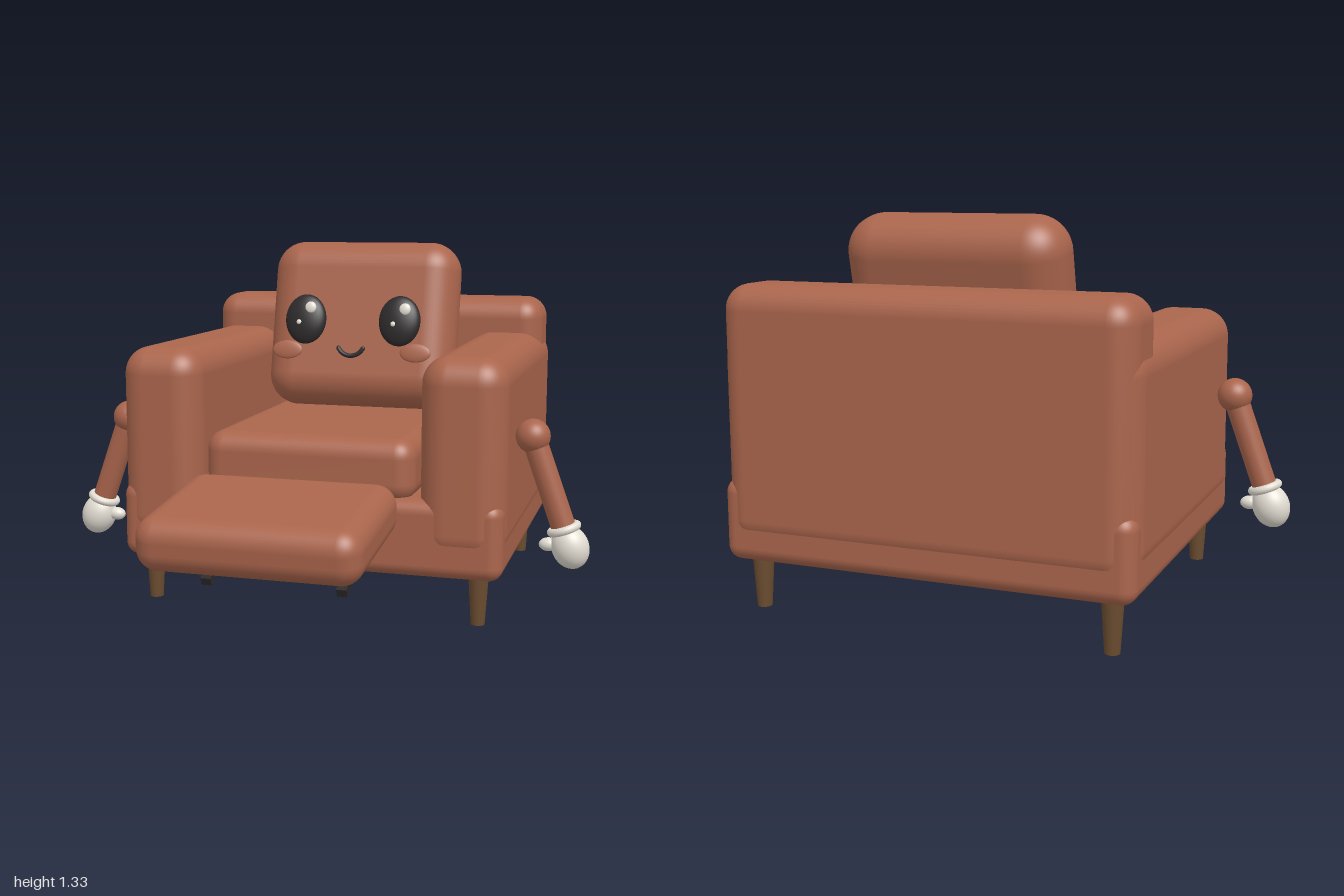
import * as THREE from 'three';
import { RoundedBoxGeometry } from 'three/addons/geometries/RoundedBoxGeometry.js';

const mat = (name, color) => {
  const m = new THREE.MeshStandardMaterial({ color });
  m.name = name;
  return m;
};

export function createModel() {
  const leather = mat('leather', 0xaa654c);
  const black = mat('black', 0x2e2a2b);
  const white = mat('white', 0xe2ddd2);
  const wood = mat('wood', 0x6b4c30);
  const chair = new THREE.Group();
  chair.name = 'armchair';

  const add = (name, geo, material, [x, y, z], parent = chair) => {
    const mesh = new THREE.Mesh(geo, material);
    mesh.name = name;
    mesh.position.set(x, y, z);
    parent.add(mesh);
    return mesh;
  };
  // Rounded cushion given by its min and max on each axis
  const cushion = (name, [x0, x1], [y0, y1], [z0, z1], r) =>
    add(name, new RoundedBoxGeometry(x1 - x0, y1 - y0, z1 - z0, 6, r), leather,
      [(x0 + x1) / 2, (y0 + y1) / 2, (z0 + z1) / 2]);
  const ellipsoid = (name, material, pos, [rx, ry, rz], parent) => {
    const mesh = add(name, new THREE.SphereGeometry(1, 32, 20), material, pos, parent);
    mesh.scale.set(rx, ry, rz);
    return mesh;
  };

  // Body
  cushion('base', [-0.713, 0.713], [0.175, 0.455], [-0.953, 0.304], 0.05);
  cushion('backrest', [-0.705, 0.705], [0.235, 1.1], [-0.959, -0.68], 0.085);
  cushion('seatCushion', [-0.393, 0.393], [0.43, 0.66], [-0.69, 0.285], 0.07);
  for (const s of [-1, 1]) {
    cushion('armrest', s < 0 ? [-0.718, -0.41] : [0.41, 0.718], [0.235, 0.96], [-0.952, 0.31], 0.1);
  }

  // Leaning head cushion
  const head = add('headCushion', new RoundedBoxGeometry(0.775, 0.68, 0.26, 8, 0.122), leather, [0, 0.99, -0.553]);
  head.rotation.x = -0.23;

  // Face, held on a plane in front of the head cushion
  const face = new THREE.Group();
  face.name = 'face';
  face.position.set(0, 1.025, -0.35);
  face.rotation.x = -0.23;
  chair.add(face);
  for (const s of [-1, 1]) {
    const x = s * 0.193;
    ellipsoid('eye', black, [x, 0, 0], [0.084, 0.1, 0.038], face);
    ellipsoid('eyeHighlight', white, [x + 0.026, 0.043, 0.031], [0.023, 0.024, 0.011], face);
    ellipsoid('smallHighlight', white, [x - 0.018, -0.017, 0.036], [0.01, 0.01, 0.006], face);
    ellipsoid('cheek', leather, [s * 0.263, -0.125, 0], [0.062, 0.037, 0.01], face);
  }
  const half = 1.07;
  const smile = add('mouth', new THREE.TorusGeometry(0.057, 0.009, 10, 24, half * 2), black, [0, -0.086, 0], face);
  smile.rotation.z = -Math.PI / 2 - half;
  for (const s of [-1, 1]) {
    ellipsoid('mouthEnd', black, [s * 0.05, -0.113, 0], [0.009, 0.009, 0.009], face);
  }

  // Raised footrest and its struts
  const footrest = add('footrest', new RoundedBoxGeometry(0.76, 0.187, 0.565, 6, 0.075), leather, [0, 0.425, 0.68]);
  footrest.rotation.x = 0.115;
  for (const s of [-1, 1]) {
    const strut = add('footrestStrut', new THREE.BoxGeometry(0.036, 0.03, 0.52), black, [s * 0.24, 0.327, 0.42]);
    strut.rotation.x = 0.475;
  }

  // Tapered legs
  for (const x of [-0.62, 0.62]) {
    for (const z of [-0.857, 0.21]) {
      add('leg', new THREE.CylinderGeometry(0.038, 0.025, 0.2, 20), wood, [x, 0.1, z]);
    }
  }

  // Hanging arms with gloved hands; local -y runs down the arm
  for (const s of [-1, 1]) {
    const arm = new THREE.Group();
    arm.name = s > 0 ? 'leftArm' : 'rightArm';
    arm.position.set(s * 0.782, 0.665, 0.07);
    arm.rotation.z = s * 0.345;
    chair.add(arm);
    ellipsoid('shoulder', leather, [0, 0, 0], [0.062, 0.062, 0.062], arm);
    add('forearm', new THREE.CylinderGeometry(0.044, 0.044, 0.36, 24), leather, [0, -0.18, 0], arm);
    const cuff = add('gloveCuff', new THREE.TorusGeometry(0.048, 0.015, 12, 28), white, [0, -0.35, 0], arm);
    cuff.rotation.x = Math.PI / 2;
    ellipsoid('glove', white, [0, -0.42, 0], [0.067, 0.08, 0.063], arm);
    const thumb = ellipsoid('thumb', white, [-s * 0.07, -0.39, 0], [0.036, 0.025, 0.026], arm);
    thumb.rotation.z = -s * 0.3;
  }

  return chair;
}
